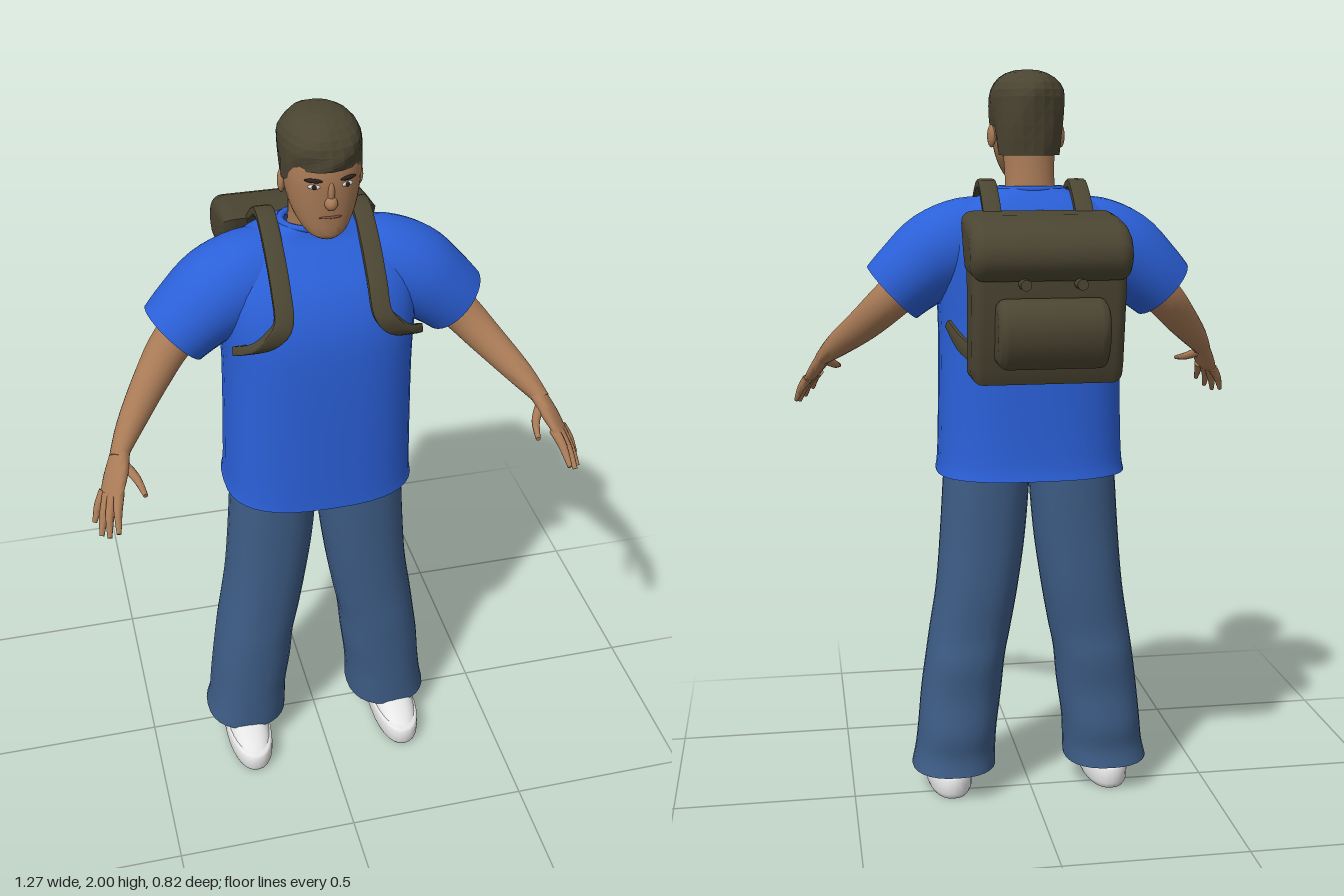
import * as THREE from 'three';
import { toCreasedNormals } from 'three/addons/utils/BufferGeometryUtils.js';

const mat = (name, color, side = THREE.FrontSide) => {
  const m = new THREE.MeshStandardMaterial({ color, side });
  m.name = name;
  return m;
};

// Catmull-Rom refinement of rings [x, y, z, halfWidth, halfDepth]
function refine(rings, sub) {
  const out = [], last = rings.length - 1;
  for (let i = 0; i < last; i++) {
    const p = [rings[Math.max(i - 1, 0)], rings[i], rings[i + 1], rings[Math.min(i + 2, last)]];
    for (let s = 0; s < sub; s++) {
      const t = s / sub;
      out.push(p[1].map((b, k) => {
        const a = p[0][k], c = p[2][k], d = p[3][k];
        return b + 0.5 * t * (c - a + t * (2 * a - 5 * b + 4 * c - d + t * (3 * (b - c) + d - a)));
      }));
    }
  }
  out.push(rings[last]);
  return out;
}

// Superellipse sections lofted along a path; width runs along ref
function loft(rings, { n = 24, pow = 2, ref = [1, 0, 0], flat = false, sub = 4, caps = true, crease = 1 } = {}) {
  const rs = refine(rings, sub), pos = [], idx = [];
  const c = rs.map(r => new THREE.Vector3(r[0], r[1], r[2])), last = rs.length - 1;
  rs.forEach((r, i) => {
    const t = flat ? new THREE.Vector3(0, 1, 0)
      : c[Math.min(i + 1, last)].clone().sub(c[Math.max(i - 1, 0)]).normalize();
    const v = new THREE.Vector3(...ref);
    v.addScaledVector(t, -v.dot(t)).normalize();
    const u = v.clone().cross(t);
    for (let j = 0; j < n; j++) {
      const a = j / n * Math.PI * 2, cs = Math.cos(a), sn = Math.sin(a);
      const e = x => Math.sign(x) * Math.abs(x) ** (2 / pow);
      pos.push(...c[i].clone().addScaledVector(u, r[4] * e(cs)).addScaledVector(v, r[3] * e(sn)).toArray());
    }
  });
  for (let i = 0; i < last; i++) for (let j = 0; j < n; j++) {
    const k = (j + 1) % n, a = i * n + j, b = i * n + k;
    idx.push(a, b, a + n, b, b + n, a + n);
  }
  if (caps) {
    const m = rs.length * n;
    pos.push(...c[0].toArray(), ...c[last].toArray());
    for (let j = 0; j < n; j++) {
      const k = (j + 1) % n;
      idx.push(m, k, j, m + 1, last * n + j, last * n + k);
    }
  }
  const g = new THREE.BufferGeometry();
  g.setAttribute('position', new THREE.Float32BufferAttribute(pos, 3));
  g.setIndex(idx);
  return toCreasedNormals(g, crease);
}

// Side profile [distance behind, height] extruded across x with soft edges
function sideSolid(points, half, bevel) {
  const shape = new THREE.Shape(points.map(p => new THREE.Vector2(...p)));
  const g = new THREE.ExtrudeGeometry(shape, {
    depth: 2 * (half - bevel), bevelThickness: bevel, bevelSize: bevel, bevelOffset: -bevel, bevelSegments: 5,
  });
  g.translate(0, 0, -(half - bevel)).rotateY(Math.PI / 2);
  return toCreasedNormals(g, 0.8);
}

// Hair cap: dome whose lower edge is high at the brow and low at the nape
function hairGeometry() {
  const cols = 22, rows = 10;
  const g = new THREE.PlaneGeometry(1, 1, cols, rows), p = g.attributes.position;
  for (let i = 0; i < p.count; i++) {
    const phi = (i % (cols + 1)) % cols / cols * Math.PI * 2, t = Math.floor(i / (cols + 1)) / rows;
    const f = Math.cos(phi);
    const edge = f > 0.5 ? 1.89 - 0.02 * (1 - f) : f > 0.15 ? 1.845 : f > -0.25 ? 1.84 : 1.775;
    const s = Math.sin(Math.min(1, t / 0.6) * Math.PI / 2) ** 0.85;
    const low = Math.max(0, (t - 0.6) / 0.4);
    const y = t < 0.6 ? 1.925 + 0.072 * Math.cos(t / 0.6 * Math.PI / 2) : THREE.MathUtils.lerp(1.925, edge, low);
    const k = s * (1 + 0.018 * Math.sin(phi * 5 + t * 9)) * (1 - low * low * (f < 0 ? 0.1 : 0.03));
    p.setXYZ(i, 0.1 * Math.sin(phi) * k, y, 0.06 + 0.131 * f * k);
  }
  const flat = g.toNonIndexed();
  flat.computeVertexNormals();
  return flat;
}

export function createModel() {
  const root = new THREE.Group();
  root.name = 'student';
  const blue = mat('shirt blue', 0x2b60d8, THREE.DoubleSide);
  const denim = mat('denim', 0x3d5c85, THREE.DoubleSide);
  const skin = mat('skin', 0xa87a56);
  const hair = mat('hair', 0x4a4431, THREE.DoubleSide);
  const canvas = mat('canvas', 0x4b4532);
  const white = mat('shoe white', 0xe6e6e6);
  const dark = mat('dark', 0x2a211b);
  const lip = mat('lip', 0x7d4f3c);

  const add = (name, g, m, parent = root) => {
    const mesh = new THREE.Mesh(g, m);
    mesh.name = name;
    parent.add(mesh);
    return mesh;
  };
  const blob = (name, m, p, s, ry = 0, rz = 0, parent = root) => {
    const b = add(name, new THREE.SphereGeometry(1, 16, 10), m, parent);
    b.position.set(...p);
    b.scale.set(...s);
    b.rotation.set(0, ry, rz);
  };

  // Shirt body and collar
  add('shirt', loft([
    [0, 0.93, 0.022, 0.257, 0.193], [0, 1.0, 0.026, 0.25, 0.188], [0, 1.3, 0.03, 0.244, 0.185],
    [0, 1.45, 0.025, 0.25, 0.18], [0, 1.55, 0.01, 0.25, 0.157], [0, 1.62, -0.002, 0.215, 0.115],
    [0, 1.66, -0.005, 0.16, 0.085], [0, 1.69, 0.004, 0.09, 0.066],
  ], { n: 40, pow: 2.7, flat: true, caps: false }), blue);
  const collar = add('collar', new THREE.TorusGeometry(1, 0.12, 8, 32), blue);
  collar.position.set(0, 1.688, 0.006);
  collar.rotation.x = Math.PI / 2;
  collar.scale.set(0.085, 0.066, 0.07);

  // Neck and head
  add('neck', loft([[0, 1.64, 0, 0.07, 0.06], [0, 1.72, 0.012, 0.066, 0.06], [0, 1.8, 0.03, 0.07, 0.07]],
    { flat: true }), skin);
  add('head', loft([
    [0, 1.705, 0.13, 0.025, 0.03], [0, 1.72, 0.118, 0.05, 0.052], [0, 1.765, 0.095, 0.076, 0.08],
    [0, 1.82, 0.08, 0.09, 0.1], [0, 1.87, 0.075, 0.094, 0.106], [0, 1.92, 0.065, 0.088, 0.105],
    [0, 1.96, 0.06, 0.05, 0.07],
  ], { n: 32, pow: 2.2, flat: true }), skin);
  add('hair', hairGeometry(), hair);
  blob('nose', skin, [0, 1.808, 0.178], [0.016, 0.018, 0.019]);
  blob('noseBridge', skin, [0, 1.835, 0.176], [0.009, 0.03, 0.012]);
  blob('mouth', lip, [0, 1.77, 0.173], [0.028, 0.004, 0.005]);

  // Mirrored parts, modelled on the +x side
  for (const s of [1, -1]) {
    const side = new THREE.Group();
    side.name = s > 0 ? 'leftSide' : 'rightSide';
    side.scale.x = s;
    root.add(side);
    const put = (name, g, m) => add(name, g, m, side);

    // Face details
    blob('ear', skin, [0.094, 1.825, 0.065], [0.01, 0.03, 0.021], 0.2, 0, side);
    blob('eyeWhite', white, [0.04, 1.852, 0.1735], [0.015, 0.006, 0.004], 0.32, 0, side);
    blob('iris', dark, [0.04, 1.852, 0.176], [0.006, 0.006, 0.004], 0.32, 0, side);
    blob('eyebrow', dark, [0.042, 1.868, 0.1745], [0.022, 0.005, 0.005], 0.34, 0.05, side);

    // Sleeve, arm and hand
    put('sleeve', loft([
      [0.1, 1.55, 0.0, 0.1, 0.115], [0.17, 1.545, 0.008, 0.115, 0.122], [0.25, 1.515, 0.015, 0.12, 0.118],
      [0.32, 1.462, 0.02, 0.113, 0.104], [0.368, 1.418, 0.025, 0.103, 0.095],
    ], { n: 32, ref: [0, 0, 1], caps: false }), blue);
    put('arm', loft([
      [0.27, 1.49, 0.005, 0.06, 0.06], [0.37, 1.398, 0.03, 0.054, 0.054], [0.44, 1.327, 0.09, 0.044, 0.046],
      [0.51, 1.26, 0.18, 0.034, 0.034], [0.552, 1.215, 0.245, 0.026, 0.02],
    ], { n: 20, ref: [0, 0, 1] }), skin);
    put('palm', loft([
      [0.542, 1.227, 0.23, 0.024, 0.02], [0.562, 1.19, 0.275, 0.037, 0.017], [0.583, 1.15, 0.315, 0.037, 0.011],
    ], { n: 16, ref: [0.033, -0.015, -0.045], pow: 2.4 }), skin);
    const fingers = [
      [[0.562, 1.165, 0.318], [0.572, 1.14, 0.362], [0.578, 1.105, 0.405]],
      [[0.577, 1.157, 0.312], [0.592, 1.123, 0.352], [0.6, 1.085, 0.39]],
      [[0.588, 1.152, 0.3], [0.606, 1.112, 0.335], [0.617, 1.075, 0.365]],
      [[0.595, 1.15, 0.285], [0.614, 1.12, 0.3], [0.628, 1.083, 0.317]],
      [[0.546, 1.208, 0.255], [0.517, 1.188, 0.298], [0.502, 1.175, 0.36]],
    ];
    fingers.forEach((f, i) => put(i < 4 ? 'finger' : 'thumb', loft(
      f.map((p, k) => [...p, ...Array(2).fill([0.014, 0.011, 0.006][k])]), { n: 10, ref: [0.3, 1, 0.2] }), skin));

    // Trouser leg with slight folds
    const leg = [
      [0.112, 1.05, 0.025, 0.114, 0.12], [0.118, 0.93, 0.025, 0.118, 0.126], [0.131, 0.75, 0.024, 0.117, 0.125],
      [0.148, 0.6, 0.022, 0.113, 0.125], [0.168, 0.48, 0.024, 0.112, 0.122], [0.182, 0.4, 0.022, 0.11, 0.126],
      [0.194, 0.3, 0.025, 0.112, 0.122], [0.206, 0.2, 0.02, 0.11, 0.126], [0.212, 0.13, 0.024, 0.112, 0.122],
      [0.218, 0.08, 0.02, 0.117, 0.126],
    ].reverse();
    put('trouserLeg', loft(leg, { n: 28, pow: 2.3, flat: true, caps: false }), denim);

    // Shoe: sole, then upper
    put('sole', loft([
      [0.226, 0, 0.09, 0.058, 0.15], [0.226, 0.015, 0.09, 0.065, 0.158], [0.226, 0.055, 0.09, 0.064, 0.157],
      [0.226, 0.062, 0.089, 0.058, 0.15],
    ], { n: 28, pow: 2.3, flat: true, sub: 2 }), white);
    put('shoeUpper', loft([
      [0.226, 0.055, 0.088, 0.06, 0.152], [0.226, 0.075, 0.07, 0.056, 0.13], [0.226, 0.095, 0.045, 0.048, 0.09],
      [0.226, 0.11, 0.025, 0.04, 0.06],
    ], { n: 28, pow: 2.2, flat: true, sub: 2 }), white);

    // Shoulder strap and lower strap
    put('shoulderStrap', loft([
      [0.12, 1.6, -0.16], [0.12, 1.665, -0.09], [0.12, 1.703, -0.01], [0.12, 1.655, 0.085], [0.12, 1.58, 0.165],
      [0.123, 1.515, 0.207], [0.152, 1.476, 0.21], [0.19, 1.447, 0.195], [0.23, 1.422, 0.155],
    ].map((p, i) => [...p, i < 7 ? 0.024 : 0.018, 0.012]), { n: 16, pow: 6, crease: 0.6 }), canvas);
    put('lowerStrap', loft([
      [0.17, 1.27, -0.19, 0.022, 0.008], [0.205, 1.3, -0.145, 0.02, 0.008], [0.232, 1.345, -0.09, 0.012, 0.006],
    ], { n: 12, pow: 5, ref: [0, 1, 0], crease: 0.6 }), canvas);

    // Flap button
    const button = put('flapButton', new THREE.CylinderGeometry(0.014, 0.014, 0.05, 14).rotateX(Math.PI / 2), dark);
    button.position.set(0.07, 1.468, -0.352);
    button.material = canvas;
  }

  // Backpack: body, flap and pocket
  add('packBody', sideSolid([
    [0.16, 1.21], [0.285, 1.21], [0.302, 1.25], [0.32, 1.36], [0.336, 1.47], [0.335, 1.56], [0.3, 1.6],
    [0.135, 1.61], [0.155, 1.53], [0.17, 1.45], [0.165, 1.3],
  ], 0.195, 0.03), canvas);
  add('packFlap', sideSolid([
    [0.12, 1.637], [0.22, 1.63], [0.3, 1.617], [0.345, 1.597], [0.37, 1.565], [0.377, 1.53], [0.365, 1.5],
    [0.34, 1.475], [0.2, 1.48], [0.16, 1.53],
  ], 0.203, 0.035), canvas);
  add('packPocket', sideSolid([
    [0.28, 1.262], [0.365, 1.26], [0.39, 1.285], [0.407, 1.325], [0.412, 1.365], [0.4, 1.4], [0.375, 1.425],
    [0.34, 1.433], [0.28, 1.425],
  ], 0.14, 0.025), canvas);

  return root;
}
